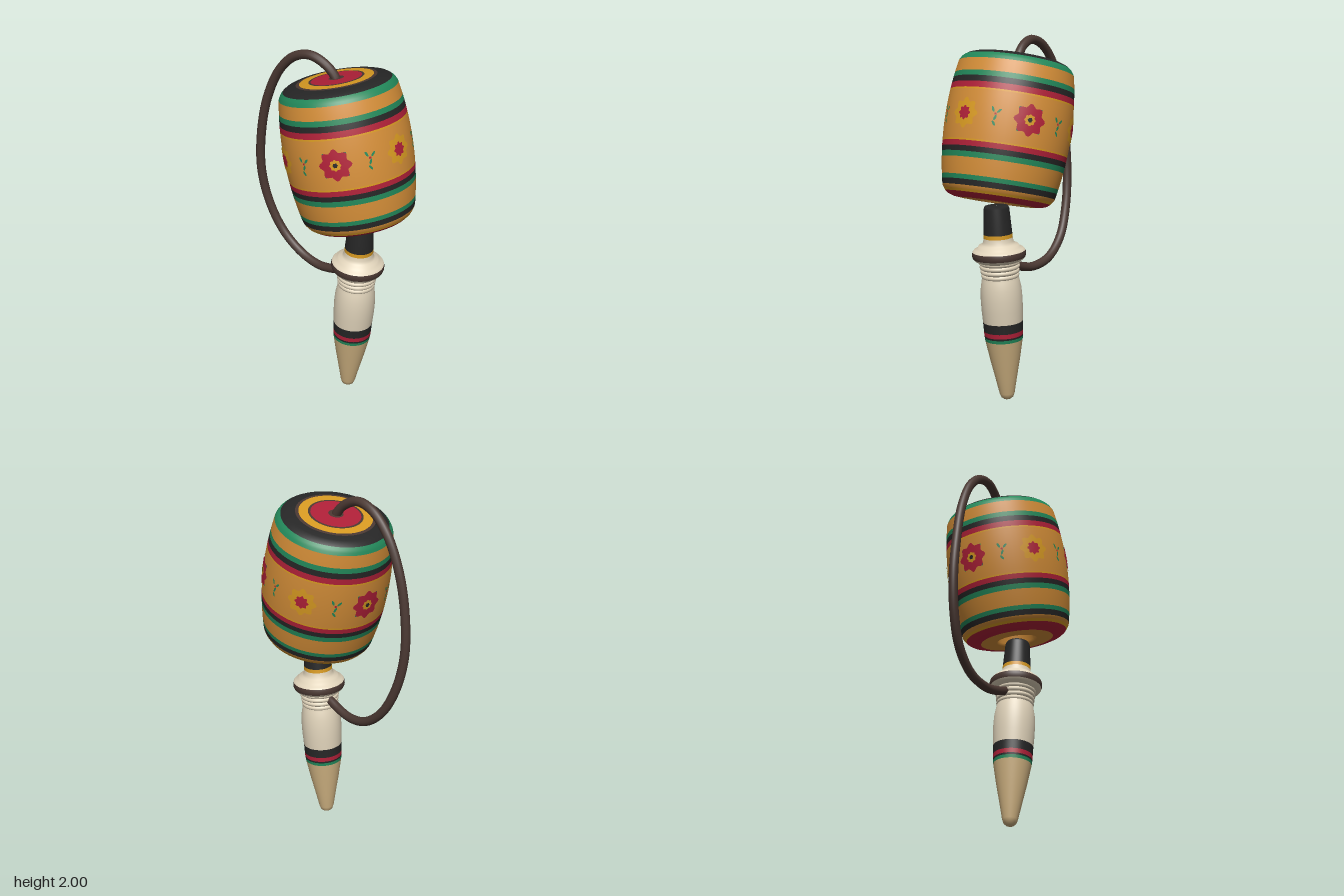
import * as THREE from 'three';

const mat = (name, color) => Object.assign(new THREE.MeshStandardMaterial({ color }), { name });
const M = {
  orange: mat('orange wood', 0xd48e38),
  yellow: mat('yellow paint', 0xd99b22),
  red: mat('red paint', 0xb02038),
  green: mat('green paint', 0x22885a),
  black: mat('black paint', 0x262626),
  brown: mat('brown cord', 0x4a3832),
  cream: mat('cream wood', 0xe0d3ba),
  tan: mat('tan wood', 0xd0b382),
};

function add(group, name, geometry, material) {
  const mesh = new THREE.Mesh(geometry, material);
  mesh.name = name;
  group.add(mesh);
  return mesh;
}

// Turned body: each band is [name, material, points] and starts where the last one ended
function turn(group, start, bands) {
  let last = start;
  for (const [name, material, points] of bands) {
    const profile = [last, ...points].map(([r, y]) => new THREE.Vector2(r, y));
    add(group, name, new THREE.LatheGeometry(profile, 72), material);
    last = points[points.length - 1];
  }
}

// Bulging side of the barrel
const barrelRadius = (y) => 0.342 - 0.3 * (y - 0.02) ** 2;
const side = (y0, y1, n = 4) =>
  Array.from({ length: n }, (_, i) => y0 + ((y1 - y0) * (i + 1)) / n).map((y) => [barrelRadius(y), y]);

// Painted patch wrapped on the barrel: an outline in polar form, at angle theta and height y
function paint(group, name, material, theta, y, outline, layer) {
  const geometry = new THREE.RingGeometry(0.001, 1, 48, 4);
  const p = geometry.attributes.position;
  for (let i = 0; i < p.count; i++) {
    const t = Math.atan2(p.getY(i), p.getX(i));
    const [a, b] = outline(t, Math.hypot(p.getX(i), p.getY(i)));
    const r = barrelRadius(y + b) + 0.002 * layer;
    const angle = theta - a / 0.34;
    p.setXYZ(i, r * Math.cos(angle), y + b, r * Math.sin(angle));
  }
  geometry.computeVertexNormals();
  add(group, name, geometry, material);
}
const petals = (size, n, depth) => (t, q) => {
  const r = q * size * (1 + depth * Math.cos(n * t));
  return [r * Math.cos(t), r * Math.sin(t)];
};
const leaf = (x, length, width, turnBy) => (t, q) => {
  const a = q * length * Math.cos(t), b = q * width * Math.sin(t);
  return [x + a * Math.cos(turnBy) - b * Math.sin(turnBy), a * Math.sin(turnBy) + b * Math.cos(turnBy)];
};

function makeBarrel() {
  const g = new THREE.Group();
  g.name = 'barrel';
  turn(g, [0.001, -0.18], [
    ['socket', M.orange, [[0.085, -0.18], [0.1, -0.2], [0.105, -0.38], [0.115, -0.394], [0.205, -0.392]]],
    ['bottomRedRing', M.red, [[0.24, -0.388], [0.268, -0.378], [0.284, -0.366]]],
    ['bottomYellowRing', M.yellow, [[0.294, -0.353]]],
    ['bottomEdge', M.orange, [[0.301, -0.343], ...side(-0.335, -0.334, 1)]],
    ['lowerBlackStripe', M.black, side(-0.334, -0.304)],
    ['lowerGreenStripe', M.green, side(-0.304, -0.28)],
    ['lowerBand', M.orange, side(-0.28, -0.19)],
    ['lowerGreenLine', M.green, side(-0.19, -0.161)],
    ['lowerBlackLine', M.black, side(-0.161, -0.133)],
    ['lowerRedLine', M.red, side(-0.133, -0.105)],
    ['lowerYellowLine', M.yellow, side(-0.105, -0.096)],
    ['flowerBand', M.orange, side(-0.096, 0.164, 12)],
    ['upperYellowLine', M.yellow, side(0.164, 0.173)],
    ['upperRedLine', M.red, side(0.173, 0.205)],
    ['upperBlackLine', M.black, side(0.205, 0.236)],
    ['upperGreenLine', M.green, side(0.236, 0.264)],
    ['upperBand', M.orange, side(0.264, 0.332)],
    ['topGreenRing', M.green, [[0.306, 0.345], [0.299, 0.356], [0.287, 0.367]]],
    ['topBlackRing', M.black, [[0.272, 0.377], [0.25, 0.385], [0.213, 0.391]]],
    ['topOuterRing', M.brown, [[0.196, 0.393]]],
    ['topYellowRing', M.yellow, [[0.146, 0.395]]],
    ['topInnerRing', M.brown, [[0.134, 0.396]]],
    ['topRedDisc', M.red, [[0.04, 0.397]]],
    ['cordHole', M.brown, [[0.001, 0.397]]],
  ]);
  // Six flowers, alternately yellow and red, with sprigs between them
  const y = 0.036;
  for (let i = 0; i < 6; i++) {
    const theta = (i * Math.PI) / 3;
    if (i % 2) {
      for (let k = 0; k < 4; k++) {
        const t = Math.PI / 4 + (k * Math.PI) / 2;
        paint(g, 'flowerLeaf', M.green, theta - (0.064 * Math.cos(t)) / 0.34, y + 0.064 * Math.sin(t), leaf(0, 0.024, 0.011, t), 1);
      }
      paint(g, 'redFlower', M.red, theta, y, petals(0.076, 8, 0.12), 2);
      paint(g, 'redFlowerHeart', M.yellow, theta, y, petals(0.028, 8, 0.1), 3);
      paint(g, 'redFlowerDot', M.black, theta, y, petals(0.012, 6, 0.1), 4);
    } else {
      paint(g, 'yellowFlower', M.yellow, theta, y, petals(0.072, 8, 0.13), 2);
      paint(g, 'yellowFlowerHeart', M.red, theta, y, petals(0.034, 8, 0.14), 3);
    }
    const mid = theta + Math.PI / 6;
    for (const [x, dy, turnBy] of [[-0.016, 0.03, 2], [0.018, 0.024, 0.8], [0, -0.012, 1.2], [-0.004, -0.042, 2.2]])
      paint(g, 'sprigLeaf', M.green, mid, y + dy, leaf(x, 0.015, 0.006, turnBy), 1);
    paint(g, 'sprigBerry', M.red, mid, y + 0.008, petals(0.006, 4, 0), 1);
  }
  g.position.set(0.115, 1.49, 0);
  g.rotation.z = 0.218;
  return g;
}

function makeHandle() {
  const g = new THREE.Group();
  g.name = 'handle';
  turn(g, [0.001, 0.004], [
    ['tip', M.tan, [[0.02, 0.007], [0.034, 0.018], [0.042, 0.04], [0.06, 0.13], [0.083, 0.24], [0.103, 0.35]]],
    ['greenStripe', M.green, [[0.105, 0.368]]],
    ['thinBlackStripe', M.black, [[0.106, 0.378]]],
    ['redStripe', M.red, [[0.107, 0.403]]],
    ['blackStripe', M.black, [[0.109, 0.454]]],
    ['grip', M.cream, [[0.113, 0.52], [0.114, 0.58], [0.111, 0.64], [0.102, 0.69], [0.092, 0.72], [0.09, 0.785],
      [0.115, 0.79], [0.134, 0.8], [0.142, 0.811]]],
    ['collarBand', M.brown, [[0.146, 0.822], [0.146, 0.836], [0.143, 0.847]]],
    ['collarTop', M.cream, [[0.134, 0.858], [0.115, 0.866], [0.108, 0.88], [0.09, 0.884], [0.082, 0.9], [0.079, 0.92]]],
    ['yellowLine', M.yellow, [[0.078, 0.941]]],
    ['peg', M.black, [[0.069, 1.08], [0.063, 1.093], [0.001, 1.096]]],
  ]);
  // Windings below the collar
  for (let i = 0; i < 4; i++) {
    const ring = add(g, 'winding', new THREE.TorusGeometry(0.09 + i * 0.003, 0.014, 10, 48), M.cream);
    ring.rotation.x = Math.PI / 2;
    ring.position.y = 0.711 + i * 0.025;
  }
  g.position.x = 0.119;
  g.rotation.z = -0.08;
  return g;
}

function makeCord() {
  const path = new THREE.CatmullRomCurve3([
    [0.15, 0.775, 0], [0.08, 0.757, 0], [0, 0.732, 0], [-0.1, 0.72, 0], [-0.23, 0.755, 0], [-0.35, 0.86, 0.015],
    [-0.43, 1.03, 0.04], [-0.465, 1.23, 0.06], [-0.452, 1.45, 0.067], [-0.405, 1.67, 0.062], [-0.32, 1.85, 0.052],
    [-0.22, 1.947, 0.042], [-0.115, 1.974, 0.032], [-0.025, 1.937, 0.016], [0.025, 1.88, 0.003], [0.045, 1.82, 0],
  ].map((p) => new THREE.Vector3(...p)));
  return new THREE.TubeGeometry(path, 120, 0.025, 12);
}

export function createModel() {
  const model = new THREE.Group();
  model.name = 'cupAndBallToy';
  model.add(makeBarrel(), makeHandle());
  add(model, 'cord', makeCord(), M.brown);
  return model;
}
